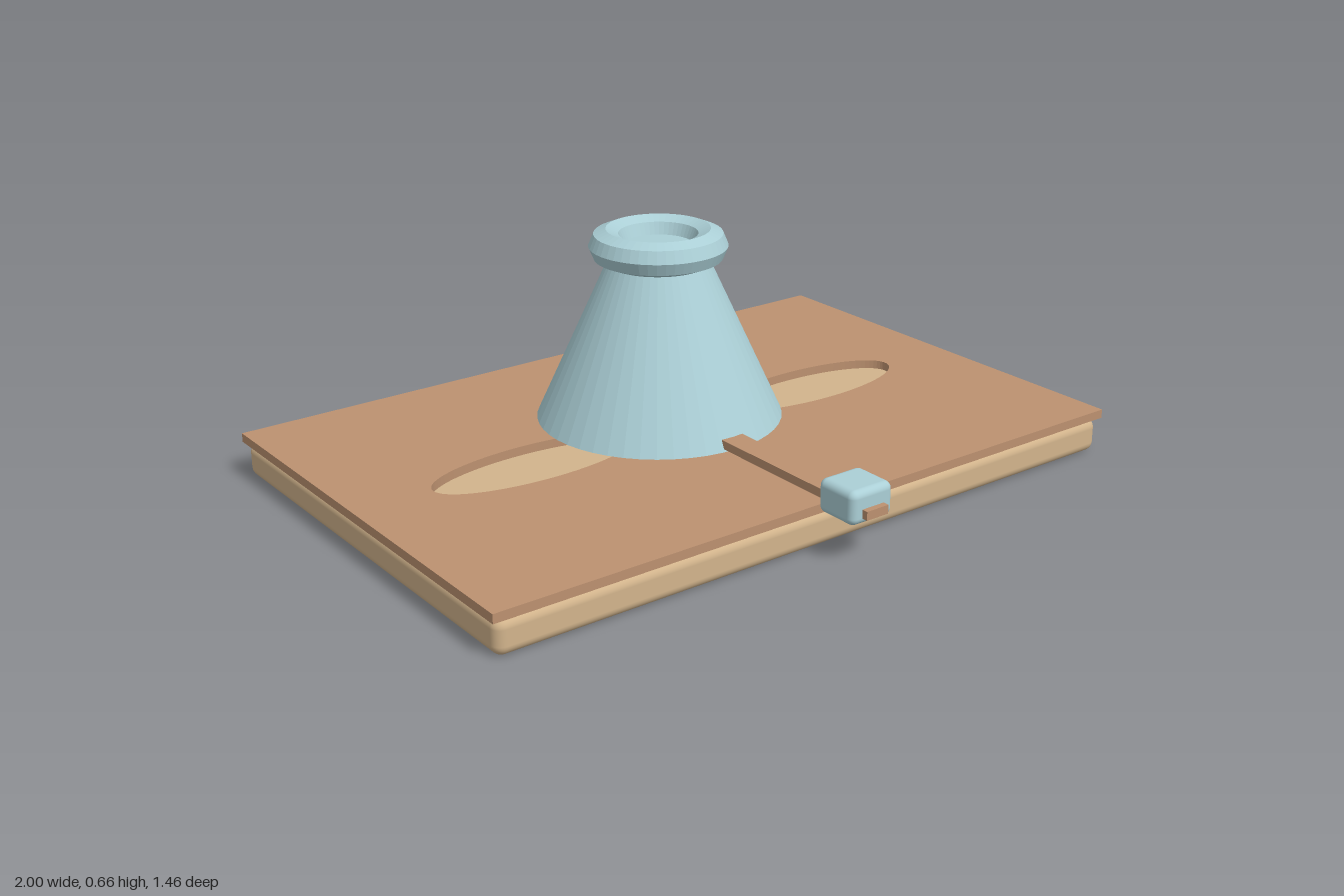
import * as THREE from 'three';
import { RoundedBoxGeometry } from 'three/addons/geometries/RoundedBoxGeometry.js';

export function createModel() {
  const model = new THREE.Group();
  const tan = new THREE.MeshStandardMaterial({ name: 'light wood', color: 0xd2b48c });
  const brown = new THREE.MeshStandardMaterial({ name: 'brown wood', color: 0xbc9170 });
  const blue = new THREE.MeshStandardMaterial({ name: 'pale blue', color: 0xabcfd6 });

  const add = (name, geometry, material, x, y, z) => {
    const mesh = new THREE.Mesh(geometry, material);
    mesh.name = name;
    mesh.position.set(x, y, z);
    model.add(mesh);
    return mesh;
  };

  const boardZ = -0.077; // centre of the board
  const coneZ = -0.168; // centre of the cone

  // Rounded base slab
  add('base', new RoundedBoxGeometry(1.98, 0.098, 1.297, 4, 0.028), tan, 0, 0.049, boardZ);

  // Thin top plate with an elliptical opening on each side
  const outline = new THREE.Shape([
    new THREE.Vector2(-1, -0.653), new THREE.Vector2(1, -0.653),
    new THREE.Vector2(1, 0.653), new THREE.Vector2(-1, 0.653),
  ]);
  for (const side of [-1, 1]) {
    const hole = new THREE.Path();
    hole.absellipse(side * 0.468, 0, 0.308, 0.112, 0, Math.PI * 2, true);
    outline.holes.push(hole);
  }
  const plate = new THREE.ExtrudeGeometry(outline, { depth: 0.025, bevelEnabled: false, curveSegments: 40 });
  plate.rotateX(-Math.PI / 2);
  add('topPlate', plate, brown, 0, 0.098, boardZ);

  // Tapered body
  const cone = new THREE.CylinderGeometry(0.12, 0.343, 0.489, 48).toNonIndexed();
  cone.computeVertexNormals();
  add('cone', cone, blue, 0, 0.3675, coneZ);

  // Faceted collar around the top of the cone
  const collar = new THREE.TorusGeometry(0.143, 0.048, 8, 48).toNonIndexed();
  collar.rotateX(-Math.PI / 2);
  collar.computeVertexNormals();
  add('collar', collar, blue, 0, 0.611, coneZ);

  // Arm reaching forward from the cone, with a sliding weight
  add('arm', new THREE.BoxGeometry(0.07, 0.024, 0.73), brown, 0, 0.142, 0.365);
  add('weight', new RoundedBoxGeometry(0.136, 0.092, 0.13, 4, 0.02), blue, 0, 0.157, 0.648);

  return model;
}
